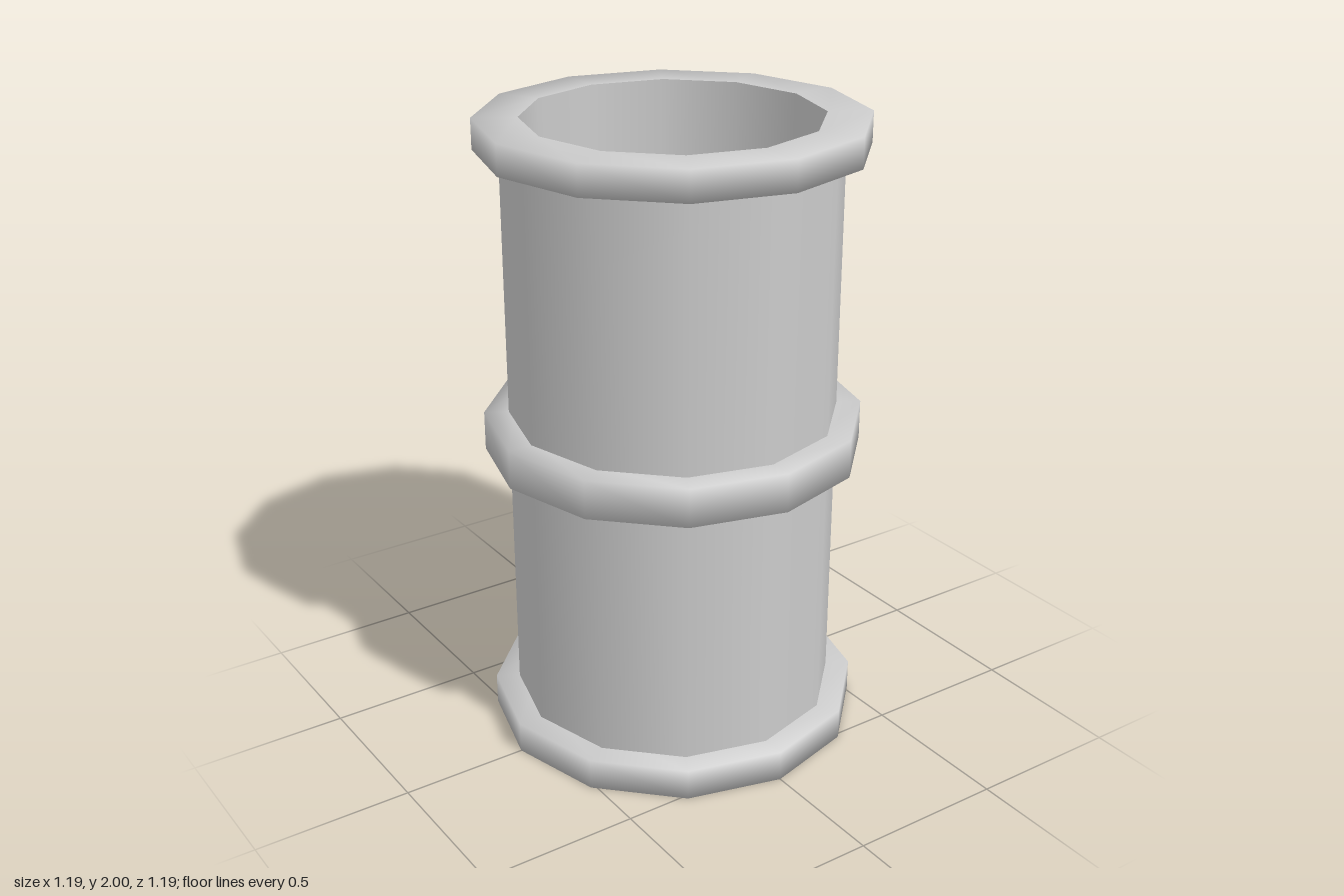
import * as THREE from 'three';

const SIDES = 12;
const INNER = 0.457, WALL = 0.518, OUTER = 0.595;

export function createModel() {
  const group = new THREE.Group();
  const material = new THREE.MeshStandardMaterial({ color: 0xcccccc });

  // Revolves a [radius, height] profile; upward profiles face outward
  const revolve = (name, profile) => {
    const points = profile.map(([r, y]) => new THREE.Vector2(r, y));
    const mesh = new THREE.Mesh(new THREE.LatheGeometry(points, SIDES), material);
    mesh.name = name;
    group.add(mesh);
  };

  // Band with softly shaded outer corners
  const band = (name, inner, y0, y1) =>
    revolve(name, [[inner, y0], [OUTER, y0], [OUTER, y1], [inner, y1]]);

  // Pipe walls
  revolve('outerWall', [[WALL, 0.05], [WALL, 1.95]]);
  revolve('innerWall', [[INNER, 2], [INNER, 0]]);

  // End rims and middle collar
  band('bottomRim', INNER, 0, 0.1);
  band('middleCollar', 0.5, 0.94, 1.064);
  band('topRim', INNER, 1.905, 2);

  return group;
}
